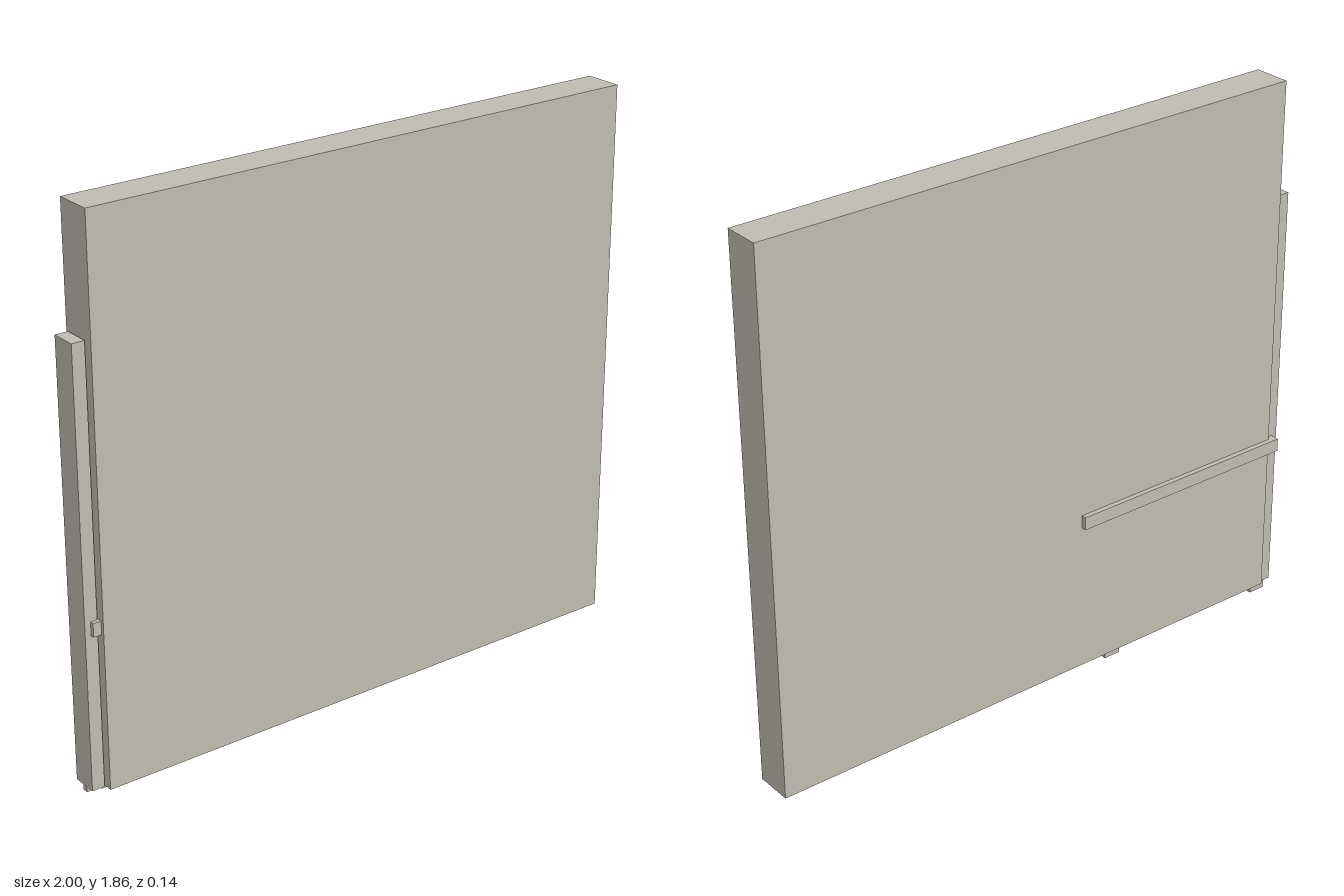
import * as THREE from 'three';

export function createModel() {
  const model = new THREE.Group();
  model.name = 'wallPanel';
  const stone = new THREE.MeshStandardMaterial({ color: 0xbfbcb1 });
  stone.name = 'warm grey';

  // Adds a box spanning the given [min, max] ranges.
  const box = (name, [x0, x1], [y0, y1], [z0, z1]) => {
    const mesh = new THREE.Mesh(new THREE.BoxGeometry(x1 - x0, y1 - y0, z1 - z0), stone);
    mesh.position.set((x0 + x1) / 2, (y0 + y1) / 2, (z0 + z1) / 2);
    mesh.name = name;
    model.add(mesh);
  };

  // Main slab
  box('panel', [-0.953, 1], [0.037, 1.86], [-0.055, 0.072]);

  // Edge strip with its thin inner seal
  box('edgeStrip', [-1, -0.957], [0.037, 1.47], [-0.041, 0.046]);
  box('edgeSeal', [-0.957, -0.953], [0.037, 1.43], [-0.03, 0.035]);

  // Clamp arm on the back, wrapping around the edge strip
  box('clampArm', [-0.98, -0.15], [0.555, 0.6], [-0.072, -0.055]);
  box('clampBody', [-0.98, -0.953], [0.555, 0.6], [-0.055, 0.06]);

  // Bottom rail and its two feet
  box('bottomRail', [-0.955, -0.305], [0.02, 0.037], [-0.011, 0.027]);
  for (const x of [-0.955, -0.305]) {
    box('foot', [x - 0.03, x + 0.03], [0, 0.037], [-0.03, -0.011]);
  }
  return model;
}
